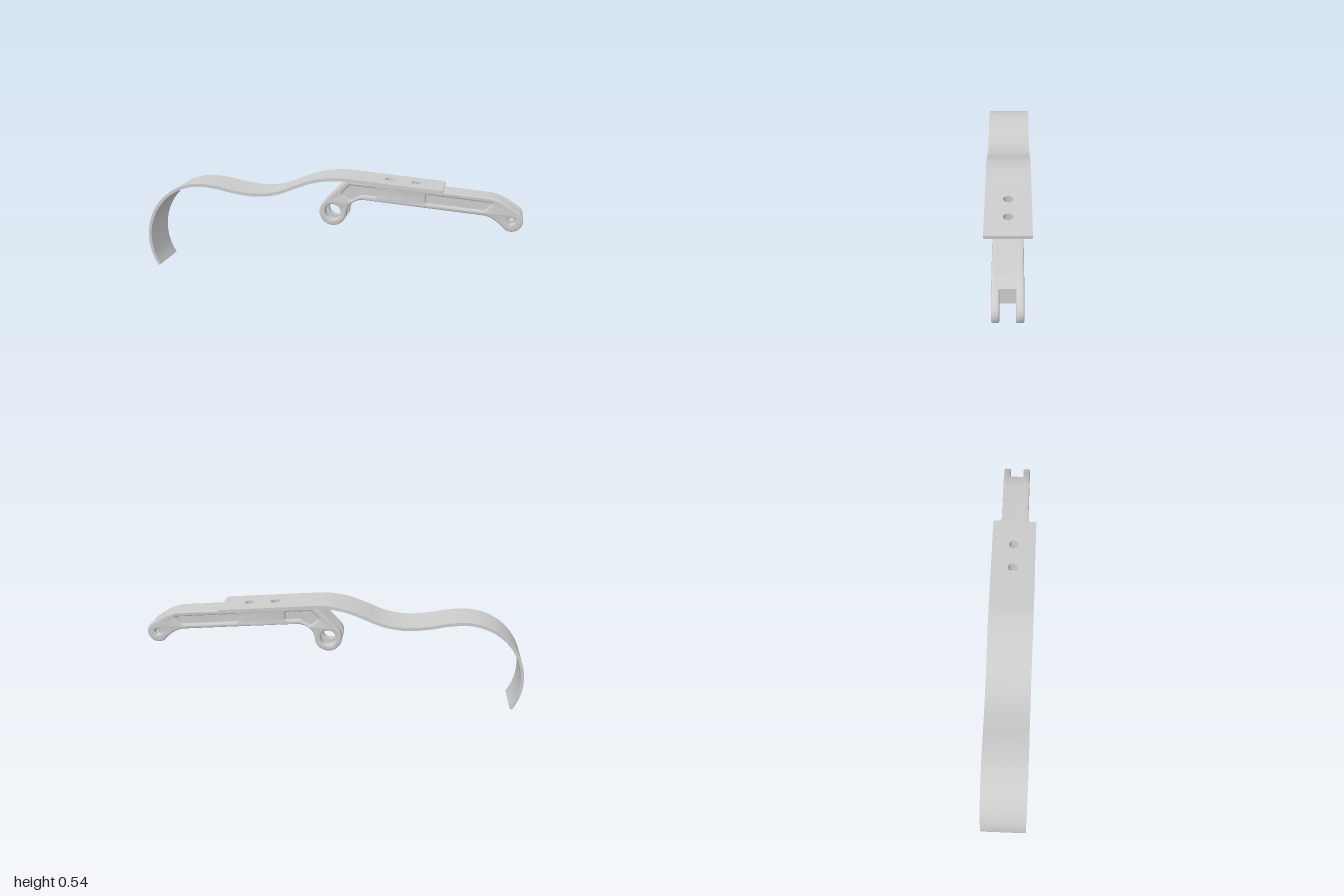
import * as THREE from 'three';
import { toCreasedNormals } from 'three/addons/utils/BufferGeometryUtils.js';

const SLOPE = Math.atan(0.082);   // downward tilt of the arm
const TOP0 = 0.5265;              // height of the arm's top line at x = 0
const ARM = 0.095;                // arm thickness
const STRAP = 0.016, STRAP_W = 0.23;
const EYE = [0.022, 0.345], TIP = [0.94, 0.345];
const BOLTS = [0.31, 0.45];

// point at distance s along the arm's top line and h below it
const at = (s, h) => new THREE.Vector2(
  s * Math.cos(SLOPE) - h * Math.sin(SLOPE),
  TOP0 - s * Math.sin(SLOPE) - h * Math.cos(SLOPE));
const rad = THREE.MathUtils.degToRad;

export function createModel() {
  const model = new THREE.Group();
  const material = new THREE.MeshStandardMaterial({ color: 0xcccccc });

  const add = (name, geometry, parent = model) => {
    const mesh = new THREE.Mesh(toCreasedNormals(geometry, 0.6), material);
    mesh.name = name;
    parent.add(mesh);
    return mesh;
  };

  // extrude a side profile between two z values, optionally with rounded edges
  const slab = (shape, z0, z1, bevel = 0) => new THREE.ExtrudeGeometry(shape, {
    depth: z1 - z0 - 2 * bevel, curveSegments: 24, bevelEnabled: bevel > 0,
    bevelSize: bevel, bevelThickness: bevel, bevelOffset: -bevel, bevelSegments: 3,
  }).translate(0, 0, z0 + bevel);

  const circle = (x, y, r) => new THREE.Path().absarc(x, y, r, 0, Math.PI * 2, false);

  // closed polygon with softened corners
  const rounded = (pts, r) => {
    const path = new THREE.Path();
    const v = pts.map(p => new THREE.Vector2(...p));
    v.forEach((p, i) => {
      const toward = q => q.clone().sub(p).setLength(r).add(p);
      const a = toward(v[(i + v.length - 1) % v.length]);
      const b = toward(v[(i + 1) % v.length]);
      if (i) path.lineTo(a.x, a.y); else path.moveTo(a.x, a.y);
      path.quadraticCurveTo(p.x, p.y, b.x, b.y);
    });
    path.closePath();
    return path;
  };

  // ---- Curved strap: arc, wave, then tangent to the flat plate ----
  const center = [];
  for (let i = 0; i <= 14; i++) {
    const a = rad(212.3 - 122.3 * i / 14);
    center.push([-0.69 + 0.3 * Math.cos(a), 0.165 + 0.3 * Math.sin(a)]);
  }
  const join = at(0.14, -STRAP / 2);
  center.push([-0.6, 0.457], [-0.5, 0.437], [-0.385, 0.426], [-0.27, 0.441], [-0.16, 0.483],
    [-0.09, 0.508], [-0.02, 0.523], [0.05, 0.5287], [0.1, 0.5265], [join.x, join.y]);
  const curve = new THREE.CatmullRomCurve3(center.map(p => new THREE.Vector3(p[0], p[1], 0)));
  const upper = [], lower = [];
  for (let i = 0; i <= 120; i++) {
    const p = curve.getPointAt(i / 120), t = curve.getTangentAt(i / 120);
    if (i === 120) t.set(Math.cos(SLOPE), -Math.sin(SLOPE), 0);
    const nx = -t.y * STRAP / 2, ny = t.x * STRAP / 2;
    upper.push(new THREE.Vector2(p.x + nx, p.y + ny));
    lower.push(new THREE.Vector2(p.x - nx, p.y - ny));
  }
  add('curvedStrap', slab(new THREE.Shape([...lower, ...upper.reverse()]), -STRAP_W / 2, STRAP_W / 2));

  // ---- Parts drilled through from above, in the arm's tilted frame ----
  const tilted = new THREE.Group();
  tilted.name = 'drilledParts';
  tilted.position.y = TOP0;
  tilted.rotation.z = -SLOPE;
  model.add(tilted);

  const drilled = (name, s0, s1, halfZ, h0, h1, r) => {
    const shape = new THREE.Shape([[s0, -halfZ], [s1, -halfZ], [s1, halfZ], [s0, halfZ]]
      .map(p => new THREE.Vector2(...p)));
    BOLTS.forEach(x => shape.holes.push(circle(x, 0, r)));
    const g = new THREE.ExtrudeGeometry(shape, { depth: h1 - h0, bevelEnabled: false, curveSegments: 24 });
    add(name, g.rotateX(Math.PI / 2).translate(0, -h0, 0), tilted);
  };
  drilled('strapPlate', 0.14, 0.594, STRAP_W / 2, -STRAP, 0, 0.025);
  drilled('boltSeat', 0.25, 0.5, 0.046, 0, 0.045, 0.025);
  drilled('counterbore', 0.25, 0.5, 0.046, 0.045, ARM, 0.042);

  // ---- Arm side cheeks: full outline with eyes and recessed pockets ----
  const cheek = new THREE.Shape();
  cheek.absarc(...EYE, 0.072, rad(130), rad(350), false);
  cheek.quadraticCurveTo(0.1, 0.41, 0.18, 0.4167);
  cheek.lineTo(0.8, 0.366);
  cheek.quadraticCurveTo(0.85, 0.36, 0.908, 0.299);
  cheek.absarc(...TIP, 0.057, rad(235), rad(430), false);
  cheek.quadraticCurveTo(0.905, 0.44, 0.84, 0.4576);
  cheek.lineTo(0.13, 0.5158);
  cheek.quadraticCurveTo(0.095, 0.519, 0.07, 0.495);
  cheek.closePath();
  cheek.holes.push(
    circle(...EYE, 0.041),
    circle(...TIP, 0.017),
    rounded([[0.066, 0.446], [0.112, 0.491], [0.25, 0.48], [0.25, 0.435], [0.17, 0.44], [0.117, 0.408]], 0.012),
    rounded([[0.505, 0.46], [0.845, 0.432], [0.805, 0.389], [0.505, 0.413]], 0.014));

  // inner thickening of the large eye's lugs
  const lug = new THREE.Shape();
  lug.absarc(...EYE, 0.072, rad(130), rad(350), false);
  lug.quadraticCurveTo(0.0965, 0.3715, 0.118, 0.3925);
  lug.lineTo(0.13, 0.454);
  lug.lineTo(0.03, 0.454);
  lug.closePath();
  lug.holes.push(circle(...EYE, 0.041));

  for (const side of [1, -1]) {
    const tag = side > 0 ? 'front' : 'back';
    const span = (a, b) => side > 0 ? [a, b] : [-b, -a];
    add(tag + 'Cheek', slab(cheek, ...span(0.036, 0.072), 0.008));
    add(tag + 'EyeLug', slab(lug, ...span(0.027, 0.045)));
  }

  // ---- Arm core either side of the bolt seat, cut back to leave both forks open ----
  const a0 = at(0.25, 0), a1 = at(0.25, ARM), b0 = at(0.5, 0), b1 = at(0.5, ARM);
  const knee = new THREE.Shape();
  knee.moveTo(0.118, 0.3925);
  knee.quadraticCurveTo(0.14, 0.4135, 0.18, 0.4167);
  knee.lineTo(a1.x, a1.y);
  knee.lineTo(a0.x, a0.y);
  knee.lineTo(0.13, 0.5158);
  knee.quadraticCurveTo(0.095, 0.519, 0.07, 0.495);
  knee.lineTo(0.02, 0.444);
  knee.absarc(...EYE, 0.1, rad(91), rad(27), true);
  knee.closePath();
  add('kneeCore', slab(knee, -0.046, 0.046));

  const beam = new THREE.Shape();
  beam.moveTo(b1.x, b1.y);
  beam.lineTo(0.8, 0.366);
  beam.lineTo(0.906, 0.352);
  beam.lineTo(0.904, 0.4325);
  beam.quadraticCurveTo(0.8725, 0.4488, 0.84, 0.4576);
  beam.lineTo(b0.x, b0.y);
  beam.closePath();
  add('beamCore', slab(beam, -0.046, 0.046));

  return model;
}
